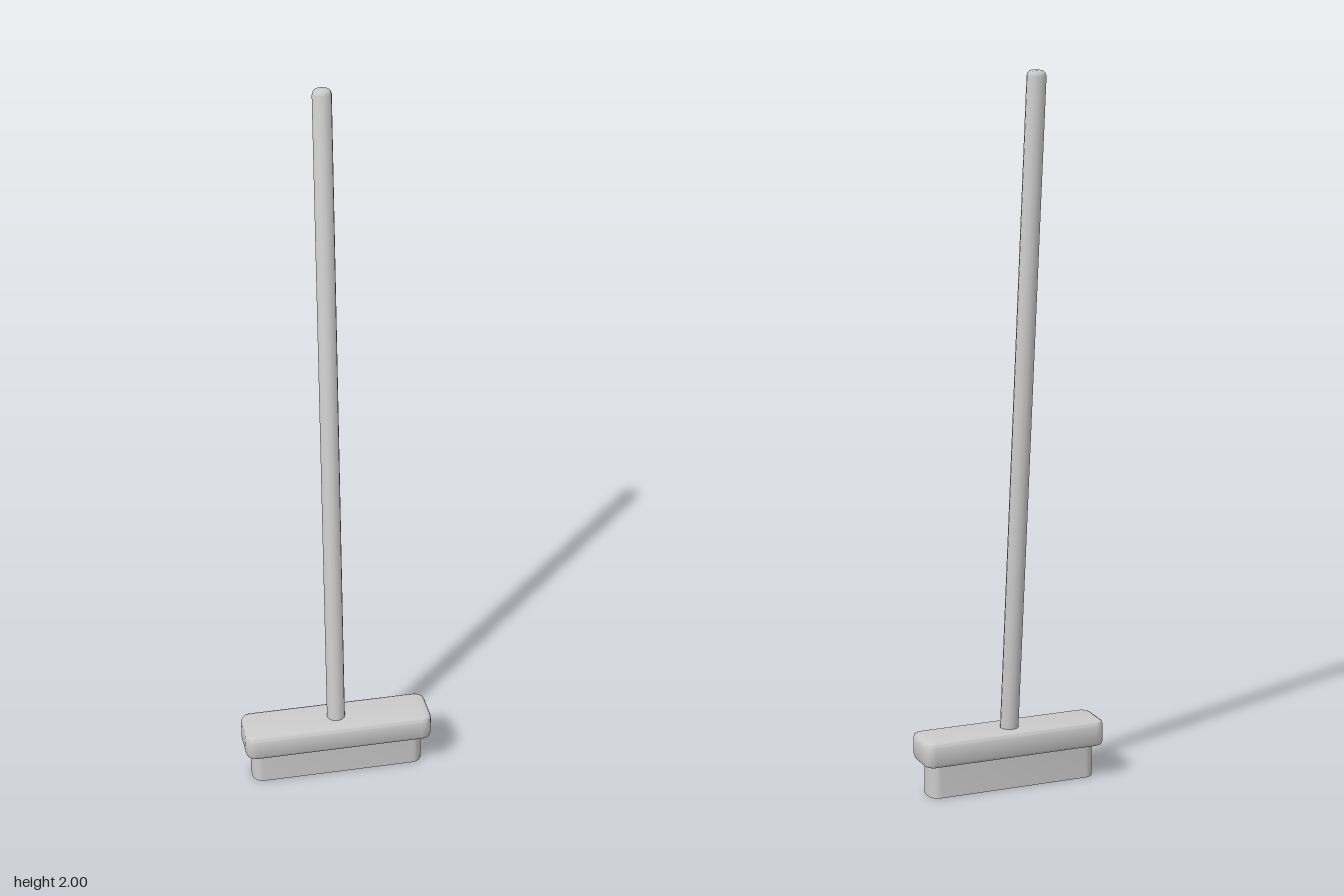
import * as THREE from 'three';
import { toCreasedNormals } from 'three/addons/utils/BufferGeometryUtils.js';

const material = new THREE.MeshStandardMaterial({ color: 0xcccccc });

// Rounded-corner block standing on y = 0, centred on x and z, with optional bevelled rims
function roundedBlock(name, width, height, depth, radius, bevel) {
  const w = width / 2 - bevel, d = depth / 2 - bevel, r = radius - bevel;
  const shape = new THREE.Shape();
  shape.absarc(w - r, d - r, r, 0, Math.PI / 2);
  shape.absarc(-w + r, d - r, r, Math.PI / 2, Math.PI);
  shape.absarc(-w + r, -d + r, r, Math.PI, Math.PI * 1.5);
  shape.absarc(w - r, -d + r, r, Math.PI * 1.5, Math.PI * 2);
  shape.closePath();
  const geometry = new THREE.ExtrudeGeometry(shape, {
    depth: height - 2 * bevel, curveSegments: 3,
    bevelEnabled: bevel > 0, bevelSize: bevel, bevelThickness: bevel, bevelSegments: 2,
  });
  geometry.translate(0, 0, bevel).rotateX(-Math.PI / 2);
  const mesh = new THREE.Mesh(toCreasedNormals(geometry, 0.8), material);
  mesh.name = name;
  return mesh;
}

export function createModel() {
  const broom = new THREE.Group();
  broom.name = 'pushBroom';
  const headZ = 0.077;

  // Bristle block tucked under the head
  const bristles = roundedBlock('bristles', 0.494, 0.105, 0.084, 0.03, 0);
  bristles.position.z = headZ;

  // Head with softened rims
  const head = roundedBlock('head', 0.538, 0.072, 0.134, 0.03, 0.01);
  head.position.set(0, 0.096, headZ);

  // Round handle with a domed tip, leaning backwards from the head
  const base = new THREE.Vector3(0, 0.13, 0.078);
  const tip = new THREE.Vector3(0, 2, -0.118);
  const axis = tip.clone().sub(base);
  const length = axis.length(), radius = 0.026;
  const profile = [
    [0, 0], [radius, 0], [radius, length - 0.014],
    [radius * 0.9, length - 0.006], [radius * 0.68, length - 0.001], [0, length],
  ].map(([x, y]) => new THREE.Vector2(x, y));
  const handle = new THREE.Mesh(
    toCreasedNormals(new THREE.LatheGeometry(profile, 12), 0.9), material);
  handle.name = 'handle';
  handle.position.copy(base);
  handle.quaternion.setFromUnitVectors(new THREE.Vector3(0, 1, 0), axis.normalize());

  broom.add(bristles, head, handle);
  return broom;
}
